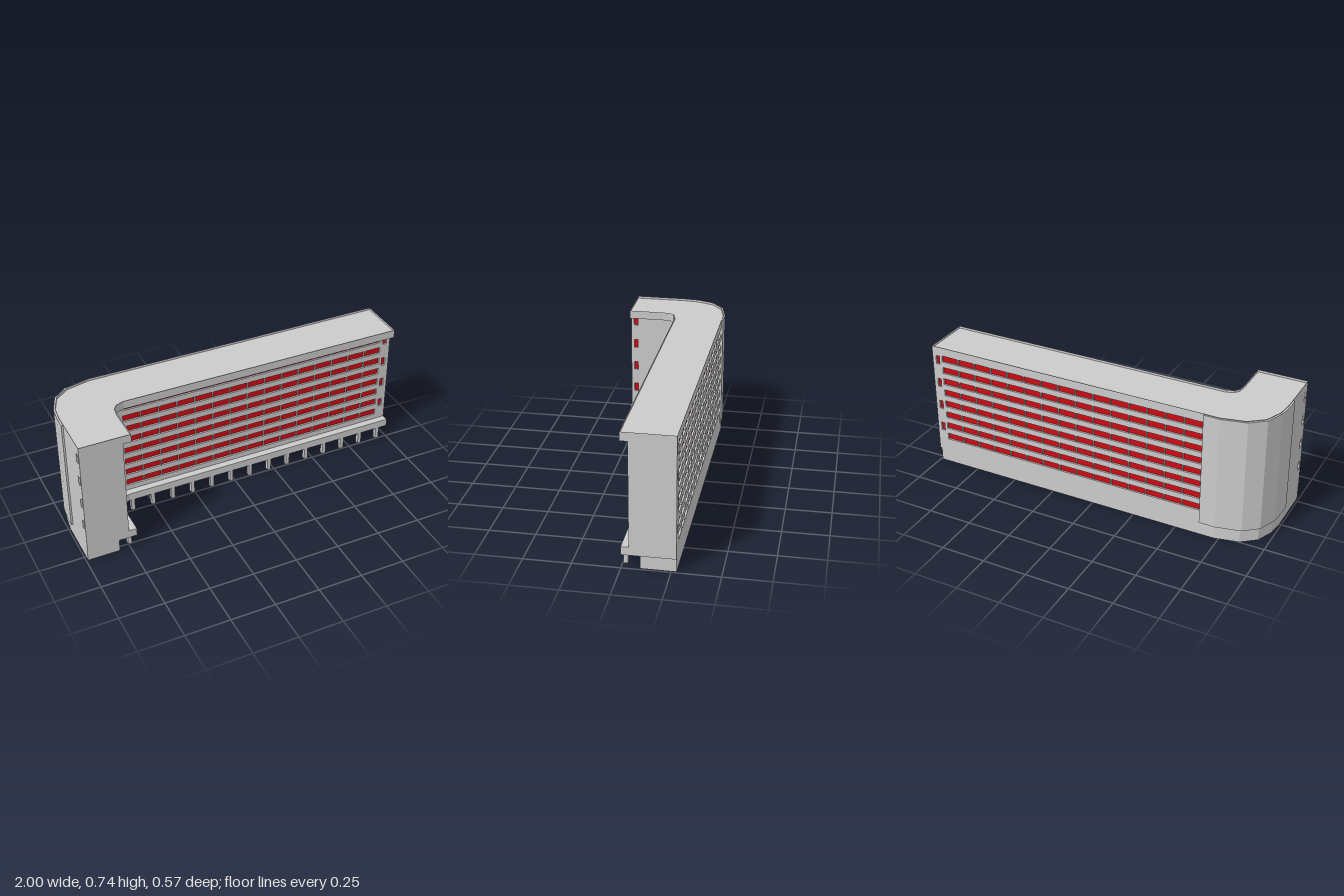
import * as THREE from 'three';

const grey = new THREE.MeshStandardMaterial({ color: 0xcccccc, flatShading: true });
const greyThin = new THREE.MeshStandardMaterial({ color: 0xcccccc, flatShading: true, side: THREE.DoubleSide });
const red = new THREE.MeshStandardMaterial({ color: 0xcc0a14 });

const SLAB_LOW = 0.075, WALL_LOW = 0.12, WALL_HIGH = 0.69, ROOF = 0.725, TOP = 0.738;
const REVEAL = 0.012; // depth of the window openings
const BACK = -0.277, SEAM = -0.64;

// plan outlines as [x, z]
const backCurve = [[SEAM, BACK], [-0.73, BACK], [-0.86, -0.247], [-0.94, -0.185], [-0.98, -0.09], [-0.99, 0]];
const footprint = [
  [-0.99, 0.285], [-0.71, 0.285], [-0.71, 0.085], [-0.704, 0.04], [-0.685, 0.015], [SEAM, 0],
  [1, 0], [1, BACK], ...backCurve,
];
const corePlan = [
  [-0.99 + REVEAL, 0.285], [-0.755 - REVEAL, 0.285], [-0.755 - REVEAL, 0.23], [-0.755, 0.23],
  [-0.755, 0.045], [-0.745, 0], [-0.715, -0.028], [SEAM, -0.04], [SEAM, -0.04 - REVEAL],
  [1, -0.04 - REVEAL], [1, BACK + REVEAL], [SEAM, BACK + REVEAL], ...backCurve,
  [-0.99, 0.23], [-0.99 + REVEAL, 0.23],
];
const groundPlan = [
  [-0.99, 0.28], [-0.81, 0.28], [-0.81, -0.07], [-0.79, -0.095], [0.99, -0.095], [0.99, BACK], ...backCurve,
];
const claddingPlan = [
  [SEAM, BACK], [SEAM, -0.285], [-0.73, -0.286], [-0.87, -0.255], [-0.95, -0.19], [-0.99, -0.09],
  [-1, 0], [-1, 0.06], [-0.99, 0.06], ...backCurve.slice(1).reverse(),
];

function mesh(name, geometry, material = grey) {
  const m = new THREE.Mesh(geometry, material);
  m.name = name;
  return m;
}

// solid block from a plan outline
function block(name, plan, y0, y1) {
  const shape = new THREE.Shape(plan.map(([x, z]) => new THREE.Vector2(x, -z)));
  const g = new THREE.ExtrudeGeometry(shape, { depth: y1 - y0, bevelEnabled: false });
  g.rotateX(-Math.PI / 2).translate(0, y0, 0);
  return mesh(name, g);
}

// thin upright wall following a closed plan outline
function thinWall(name, plan, y0, y1) {
  const pos = [];
  plan.forEach(([ax, az], i) => {
    const [bx, bz] = plan[(i + 1) % plan.length];
    pos.push(ax, y0, az, bx, y0, bz, bx, y1, bz, ax, y0, az, bx, y1, bz, ax, y1, az);
  });
  const g = new THREE.BufferGeometry();
  g.setAttribute('position', new THREE.Float32BufferAttribute(pos, 3));
  g.computeVertexNormals();
  return mesh(name, g, greyThin);
}

function box(name, w, h, d, x, y, z, material) {
  const m = mesh(name, new THREE.BoxGeometry(w, h, d), material);
  m.position.set(x, y, z);
  return m;
}

// pierced facade facing local +z, with panes set at the back of its openings
function facade(name, u0, u1, openings) {
  const group = new THREE.Group();
  group.name = name;
  const rect = (target, a, b, c, d) =>
    target.moveTo(a, c).lineTo(b, c).lineTo(b, d).lineTo(a, d).closePath();
  const shape = rect(new THREE.Shape(), u0, u1, WALL_LOW, WALL_HIGH);
  for (const [u, v, w, h] of openings) {
    shape.holes.push(rect(new THREE.Path(), u - w / 2, u + w / 2, v - h / 2, v + h / 2));
    group.add(box('windowPane', w, h, 0.004, u, v, 0, red));
  }
  group.add(mesh('facadePanel', new THREE.ExtrudeGeometry(shape, { depth: REVEAL, bevelEnabled: false })));
  return group;
}

// long strips of windows plus a column of small stair windows; s mirrors the layout
function longOpenings(s) {
  const list = [];
  for (let r = 0; r < 8; r++)
    for (let c = 0; c < 15; c++)
      list.push([s * (-0.586 + c * 0.1053), 0.17 + r * 0.0713, 0.1, 0.038]);
  return list.concat(smallOpenings(s * 0.967));
}

function smallOpenings(u) {
  return [0.228, 0.371, 0.514, 0.657].map((v) => [u, v, 0.023, 0.051]);
}

export function createModel() {
  const model = new THREE.Group();
  model.name = 'building';

  // main volume
  model.add(block('lowerSlab', footprint, SLAB_LOW, WALL_LOW));
  model.add(block('wallCore', corePlan, WALL_LOW, WALL_HIGH));
  model.add(block('roofSlab', footprint, WALL_HIGH, ROOF));
  model.add(thinWall('parapet', footprint, ROOF, TOP));
  model.add(block('curvedCladding', claddingPlan, SLAB_LOW + 0.003, TOP - 0.004));

  // long facades
  const front = facade('frontFacade', SEAM, 1, longOpenings(1));
  front.position.z = -0.04 - REVEAL;
  const back = facade('backFacade', -1, -SEAM, longOpenings(-1));
  back.rotation.y = Math.PI;
  back.position.z = BACK + REVEAL;

  // narrow facades at the end of the wing
  const inner = facade('wingInnerFacade', -0.285, -0.23, smallOpenings(-0.256));
  inner.rotation.y = Math.PI / 2;
  inner.position.x = -0.755 - REVEAL;
  const outer = facade('wingOuterFacade', 0.23, 0.285, smallOpenings(0.256));
  outer.rotation.y = -Math.PI / 2;
  outer.position.x = -0.99 + REVEAL;
  model.add(front, back, inner, outer);

  // open-bottomed ground floor with double doors
  model.add(thinWall('groundFloorWall', groundPlan, 0, SLAB_LOW));
  for (const x of [-0.56, 0.155, 0.75])
    for (const s of [-1, 1])
      model.add(box('doorLeaf', 0.02, 0.058, 0.006, x + s * 0.0125, 0.029, -0.095, red));

  // columns under the overhang
  const column = (x, z) => model.add(box('column', 0.021, SLAB_LOW, 0.024, x, SLAB_LOW / 2, z));
  for (let i = 0; i < 14; i++) column(0.94 - i * 0.12, -0.015);
  for (const z of [0.24, 0.12]) column(-0.742, z);

  return model;
}
